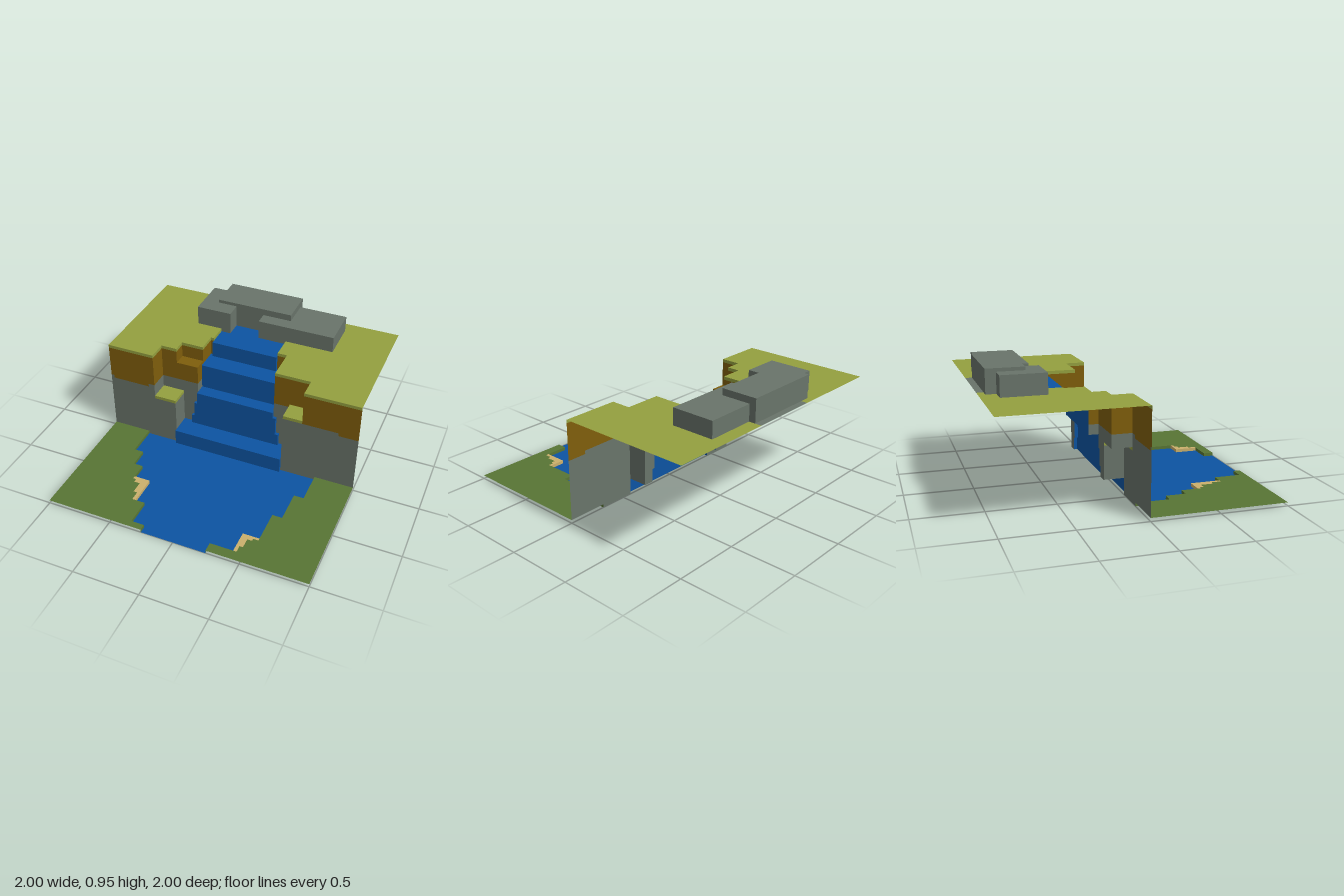
import * as THREE from 'three';

const paint = (name, color) => {
  const m = new THREE.MeshStandardMaterial({ color, side: THREE.DoubleSide });
  m.name = name;
  return m;
};

// Level rectangles of ground; a later one replaces those before it
function layTerraces() {
  const terraces = [];
  const lay = (kind, h, x0, x1, z0, z1) => terraces.push({ kind, h, x0, x1, z0, z1 });
  // Stepped shore on one side: each step reaches out to x and forward to z
  const shore = (kind, h, side, inner, z0, steps) => {
    for (const [reach, z1] of steps) {
      const [x0, x1] = side < 0 ? [-reach, -inner] : [inner, reach];
      lay(kind, h, x0, x1, z0, z1);
    }
  };

  lay('lowerMeadow', 0.025, -1, 1, 0, 1);
  lay('upperMeadow', 0.775, -1, 1, -1, 0);

  // pond and its sand banks
  shore('pond', 0, -1, 0, 0, [[0.7, 0.25], [0.625, 0.4], [0.55, 0.525], [0.425, 0.75], [0.35, 0.95], [0.25, 1]]);
  shore('pond', 0, 1, 0, 0, [[0.7, 0.25], [0.625, 0.5], [0.55, 0.75], [0.425, 0.925], [0.25, 1]]);
  shore('sandBank', 0.025, -1, 0.425, 0.525, [[0.55, 0.55], [0.525, 0.58], [0.48, 0.675], [0.45, 0.75]]);
  shore('sandBank', 0.025, 1, 0.425, 0.75, [[0.55, 0.77], [0.51, 0.79], [0.475, 0.87], [0.45, 0.925]]);

  // ledges beside the fall
  lay('grassLedge', 0.4, -0.625, -0.45, -0.15, 0);
  lay('grassLedge', 0.525, 0.425, 0.575, -0.15, 0);
  lay('soilLedge', 0.65, -0.5, -0.325, -0.25, -0.15);

  // waterfall steps, then the small shelves that flare the lower fall
  lay('waterfall', 0.125, -0.45, 0.425, -0.15, 0.025);
  lay('waterfall', 0.425, -0.325, 0.3, -0.225, -0.125);
  lay('waterfall', 0.625, -0.325, 0.3, -0.4, -0.225);
  lay('waterfall', 0.75, -0.3, 0.225, -0.675, -0.375);
  for (const [x, h] of [[-0.375, 0.2], [-0.35, 0.325], [0.3, 0.375], [0.325, 0.225]]) {
    lay('waterfall', h, x, x + 0.025, -0.15, -0.125);
  }

  // boulders around the spring, with a flat slab behind
  lay('boulders', 0.775, -0.3, 0.225, -1, -0.95);
  lay('boulders', 0.9, 0, 0.6, -0.9, -0.575);
  lay('boulders', 0.925, -0.5, -0.225, -0.875, -0.55);
  lay('boulders', 0.95, -0.375, 0.225, -0.95, -0.675);
  return terraces;
}

// Height where soil meets rock, dipping near both ends of the cliff
const soilBase = x => ((x > -0.975 && x < -0.675) || x > 0.85 ? 0.475 : 0.5);

// Bands of a vertical wall below a terrace, top down: [part, lowest y]
function wallBands({ kind, h, x }) {
  const cliff = [['cliffSoil', soilBase(x)], ['cliffRock', 0]];
  if (kind === 'upperMeadow' || kind === 'grassLedge') return [[kind, h - 0.025], ...cliff];
  if (kind === 'soilLedge') return cliff;
  return [[kind, 0]];
}

// Sorted grid lines, merging values that differ only by rounding
const lines = values => [...new Set(values.map(v => Math.round(v * 1000)))]
  .sort((a, b) => a - b).map(v => v / 1000);

export function createModel() {
  const grass = paint('light grass', 0x94a03f);
  const water = paint('water', 0x0d54a2);
  const rock = paint('rock', 0x69746a);
  const soil = paint('soil', 0x7f5e0c);
  const materials = {
    lowerMeadow: paint('dark grass', 0x587534),
    sandBank: paint('sand', 0xcbb06c),
    upperMeadow: grass, grassLedge: grass,
    pond: water, waterfall: water,
    soilLedge: soil, cliffSoil: soil,
    cliffRock: rock, boulders: rock,
  };
  const parts = {};
  const quad = (part, corners, flip) => {
    const [a, b, c, d] = flip ? [...corners].reverse() : corners;
    (parts[part] ??= []).push(...a, ...b, ...c, ...a, ...c, ...d);
  };

  const terraces = layTerraces();
  const xs = lines([-0.975, -0.675, 0.85, ...terraces.flatMap(t => [t.x0, t.x1])]);
  const zs = lines(terraces.flatMap(t => [t.z0, t.z1]));
  const cell = (i, j) => {
    if (i + 1 >= xs.length || j + 1 >= zs.length) return null;
    const x = (xs[i] + xs[i + 1]) / 2, z = (zs[j] + zs[j + 1]) / 2;
    const { kind, h } = terraces.findLast(t => x > t.x0 && x < t.x1 && z > t.z0 && z < t.z1);
    return { kind, h, x };
  };

  // Wall between two neighbouring cells, split into its bands
  const wall = (a, b, corners) => {
    if (!b || a.h === b.h) return;
    const [high, low] = a.h > b.h ? [a, b] : [b, a];
    let top = high.h;
    for (const [part, base] of wallBands(high)) {
      const bottom = Math.max(base, low.h);
      if (bottom >= top - 1e-6) continue;
      quad(part, corners(bottom, top), high === b);
      top = bottom;
    }
  };

  for (let i = 0; i + 1 < xs.length; i++) {
    for (let j = 0; j + 1 < zs.length; j++) {
      const [x0, x1, z0, z1] = [xs[i], xs[i + 1], zs[j], zs[j + 1]];
      const c = cell(i, j);
      quad(c.kind, [[x0, c.h, z1], [x1, c.h, z1], [x1, c.h, z0], [x0, c.h, z0]]);
      wall(c, cell(i + 1, j), (lo, hi) => [[x1, lo, z1], [x1, lo, z0], [x1, hi, z0], [x1, hi, z1]]);
      wall(c, cell(i, j + 1), (lo, hi) => [[x0, lo, z1], [x1, lo, z1], [x1, hi, z1], [x0, hi, z1]]);
    }
  }

  const model = new THREE.Group();
  model.name = 'waterfallLandscape';
  for (const [name, points] of Object.entries(parts)) {
    const geometry = new THREE.BufferGeometry();
    geometry.setAttribute('position', new THREE.Float32BufferAttribute(points, 3));
    geometry.computeVertexNormals();
    const mesh = new THREE.Mesh(geometry, materials[name]);
    mesh.name = name;
    model.add(mesh);
  }
  return model;
}
